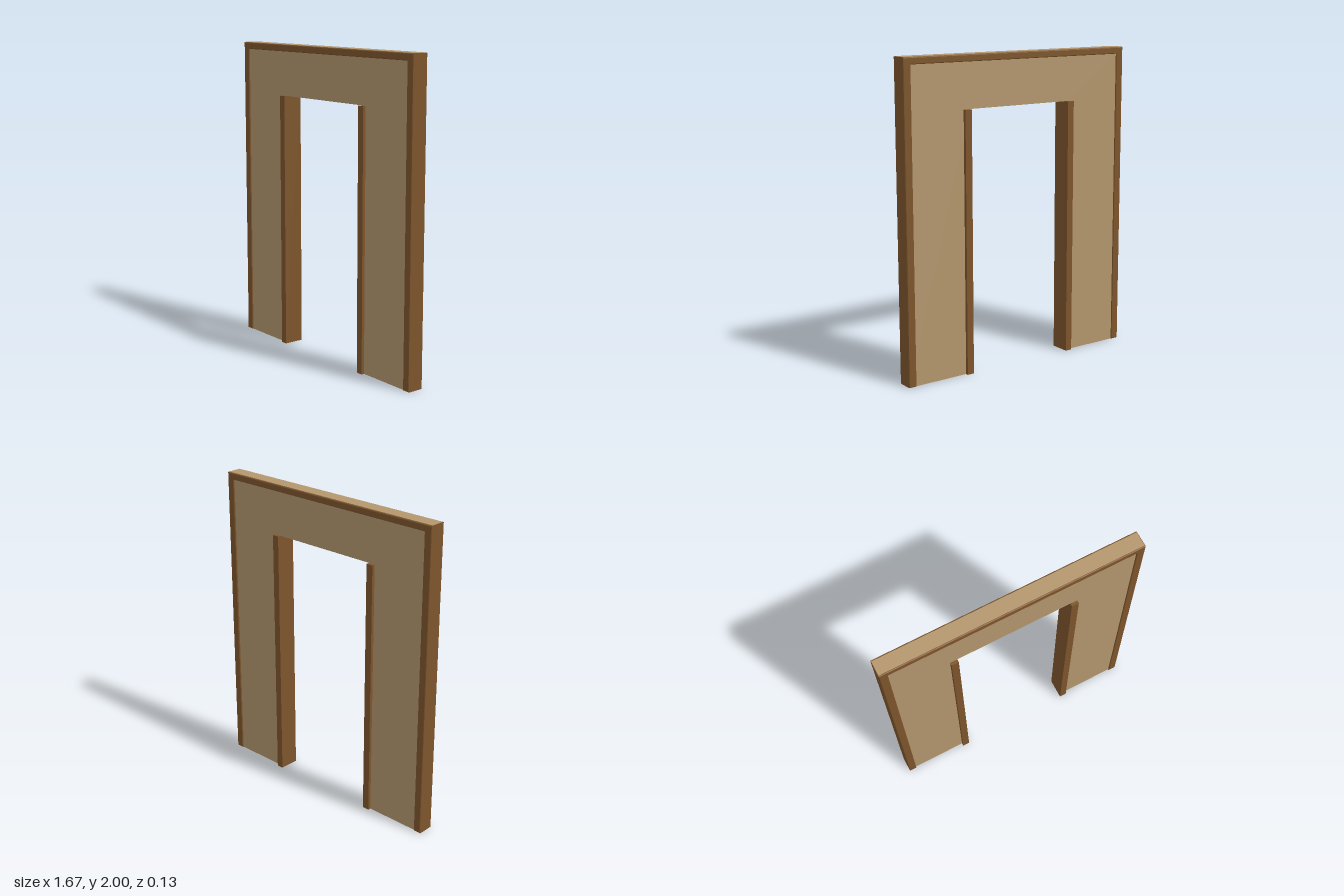
import * as THREE from 'three';

// Closed shape of an upside-down U: outer half width and height, inner half width and height
function archShape(outerX, top, innerX, innerTop, bottom = 0) {
  return new THREE.Shape([
    [-outerX, bottom], [-innerX, bottom], [-innerX, innerTop], [innerX, innerTop],
    [innerX, bottom], [outerX, bottom], [outerX, top], [-outerX, top],
  ].map(([x, y]) => new THREE.Vector2(x, y)));
}

export function createModel() {
  const group = new THREE.Group();
  const paleWood = new THREE.MeshStandardMaterial({ color: 0xb3966d });
  const darkWood = new THREE.MeshStandardMaterial({ color: 0x7d552c });

  function add(name, geometry, material, x = 0, y = 0, z = 0) {
    const mesh = new THREE.Mesh(geometry, material);
    mesh.name = name;
    mesh.position.set(x, y, z);
    group.add(mesh);
  }

  // Wall panel with the doorway cut out
  const panelDepth = 0.092;
  add('wallPanel', new THREE.ExtrudeGeometry(archShape(0.83, 2, 0.375, 1.67), {
    depth: panelDepth, bevelEnabled: false,
  }), paleWood, 0, 0, -panelDepth / 2);

  // Outer frame with softened edges, standing proud of the panel
  const frameDepth = 0.11;
  const bevel = 0.006;
  add('outerFrame', new THREE.ExtrudeGeometry(archShape(0.833, 1.9985, 0.782, 1.955), {
    depth: frameDepth - 2 * bevel,
    bevelThickness: bevel, bevelSize: bevel, bevelOffset: -bevel, bevelSegments: 2,
  }), darkWood, 0, 0, -frameDepth / 2 + bevel);

  // Door posts lining both sides of the opening
  for (const [name, side] of [['leftDoorPost', 1], ['rightDoorPost', -1]]) {
    add(name, new THREE.BoxGeometry(0.046, 1.669, 0.132), darkWood, side * 0.393, 1.669 / 2, 0);
  }

  return group;
}
